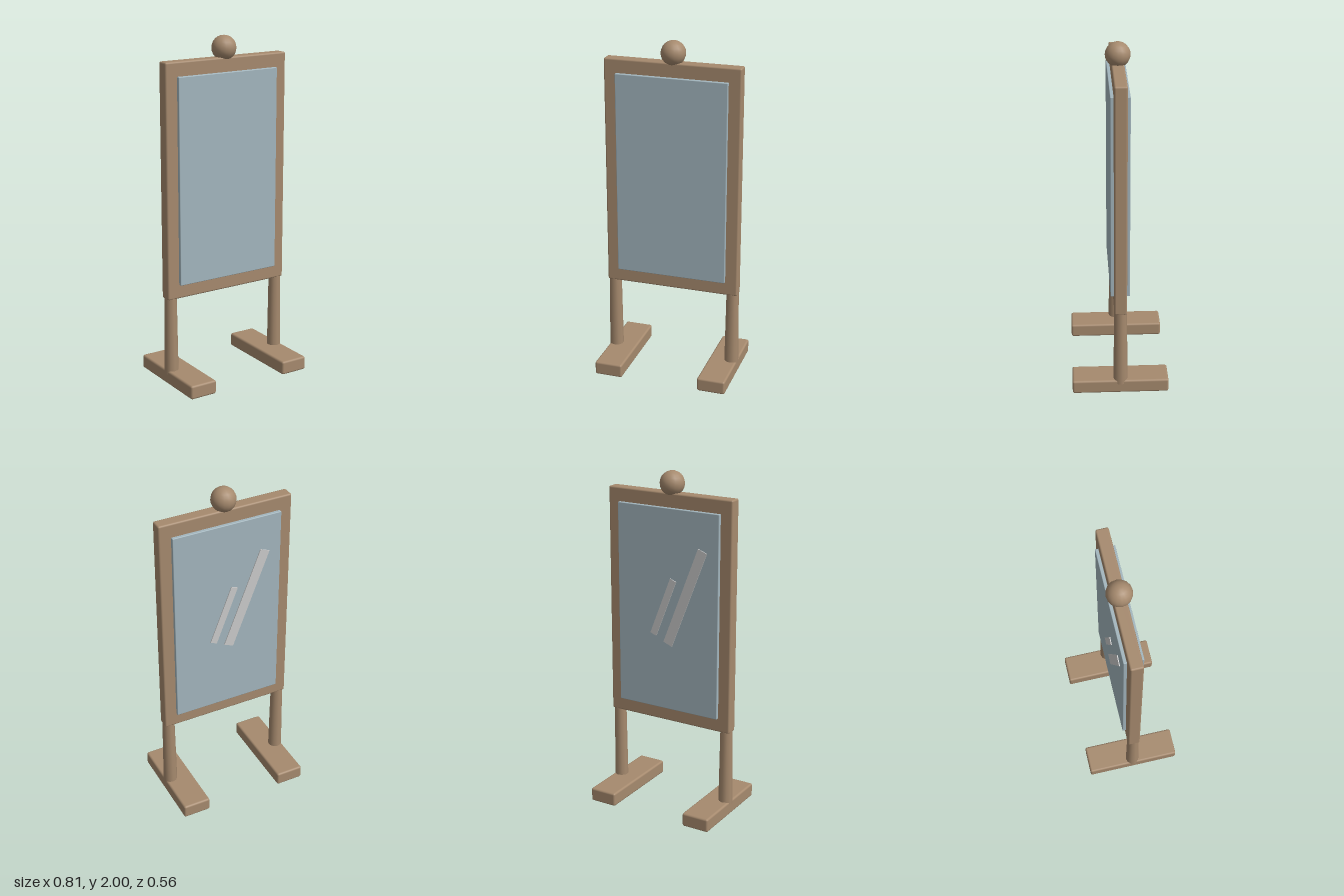
import * as THREE from 'three';
import { RoundedBoxGeometry } from 'three/addons/geometries/RoundedBoxGeometry.js';

const wood = new THREE.MeshStandardMaterial({ color: 0xa68a6e });
const glass = new THREE.MeshStandardMaterial({ color: 0xa3b6be });
const shine = new THREE.MeshStandardMaterial({ color: 0xcccccc });

export function createModel() {
  const model = new THREE.Group();
  model.name = 'standingMirror';

  const add = (name, geometry, material, x, y, z) => {
    const mesh = new THREE.Mesh(geometry, material);
    mesh.name = name;
    mesh.position.set(x, y, z);
    model.add(mesh);
    return mesh;
  };
  const box = (w, h, d, r) => new RoundedBoxGeometry(w, h, d, 2, r);

  // Frame with a mirror pane standing proud of both faces
  add('frame', box(0.8, 1.36, 0.072, 0.01), wood, 0, 1.2, 0);
  add('mirrorPane', box(0.656, 1.196, 0.11, 0.004), glass, 0, 1.2, 0);

  // Ball finial on top
  add('finial', new THREE.SphereGeometry(0.071, 16, 12), wood, 0, 1.929, 0);

  // Tapered legs on long feet
  for (const [side, s] of [['left', 1], ['right', -1]]) {
    add(side + 'Leg', new THREE.CylinderGeometry(0.036, 0.042, 0.48, 10), wood, s * 0.365, 0.3, 0);
    add(side + 'Foot', box(0.168, 0.082, 0.56, 0.012), wood, s * 0.317, 0.041, 0);
  }

  // Slanted glints on the back of the pane: x, y, width, length
  const glints = [
    ['longGlint', -0.116, 1.293, 0.06, 0.62],
    ['shortGlint', 0.026, 1.22, 0.042, 0.365],
  ];
  for (const [name, x, y, w, h] of glints) {
    add(name, new THREE.BoxGeometry(w, h, 0.01), shine, x, y, -0.055).rotation.z = 0.37;
  }

  return model;
}
